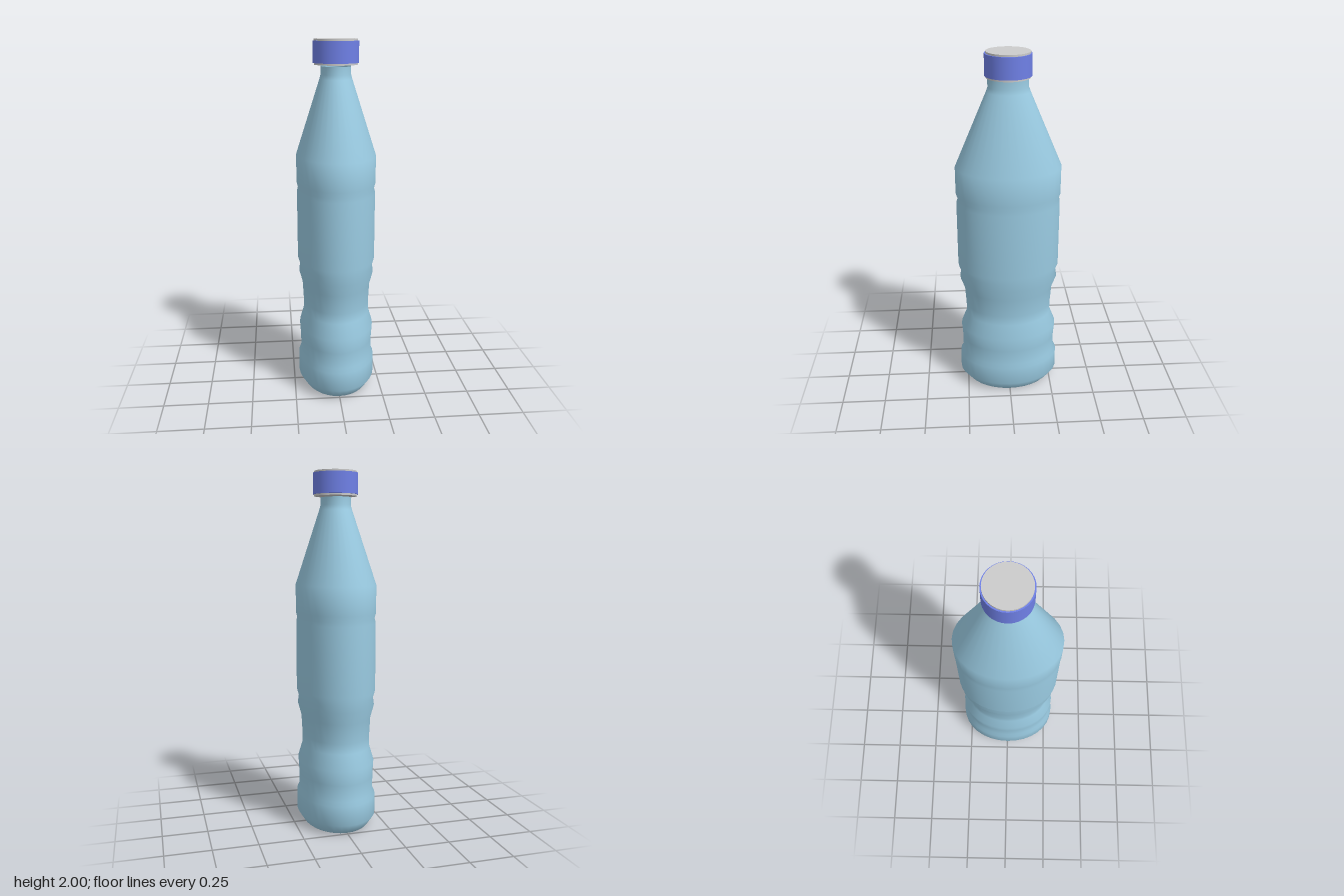
import * as THREE from 'three';

const SIDES = 32;

// Surface of revolution from [radius, height] pairs
function lathe(points) {
  return new THREE.LatheGeometry(points.map(([r, y]) => new THREE.Vector2(r, y)), SIDES);
}

function addPart(group, name, geometry, color) {
  const material = new THREE.MeshStandardMaterial({ color, side: THREE.DoubleSide });
  const mesh = new THREE.Mesh(geometry, material);
  mesh.name = name;
  group.add(mesh);
}

export function createModel() {
  const group = new THREE.Group();
  group.name = 'bottle';

  // Oval body: base, grip with waist, label panel, groove, shoulder and neck
  const body = lathe([
    [0.243, 0.005], [0.25, 0.012], [0.293, 0.065], [0.293, 0.175], [0.276, 0.197],
    [0.276, 0.29], [0.283, 0.375], [0.25, 0.46], [0.25, 0.52], [0.258, 0.63],
    [0.283, 0.7], [0.276, 0.745], [0.291, 0.785], [0.291, 1.17], [0.283, 1.195],
    [0.293, 1.225], [0.293, 1.38], [0.118, 1.79], [0.109, 1.815], [0.109, 1.858],
  ]);
  body.scale(0.755, 1, 1);
  addPart(group, 'body', body, 0x9acbe2);

  // Flat oval base
  const base = lathe([[0, 0], [0.235, 0], [0.243, 0.005]]);
  base.scale(0.755, 1, 1);
  addPart(group, 'base', base, 0x9acbe2);

  // Round cap: grey core with a coloured band around it
  const core = new THREE.CylinderGeometry(0.118, 0.118, 0.135, SIDES);
  core.translate(0, 1.9325, 0);
  addPart(group, 'capCore', core, 0xcccccc);

  const band = new THREE.CylinderGeometry(0.125, 0.125, 0.115, SIDES);
  band.translate(0, 1.9325, 0);
  addPart(group, 'capBand', band, 0x6f80e6);

  return group;
}
